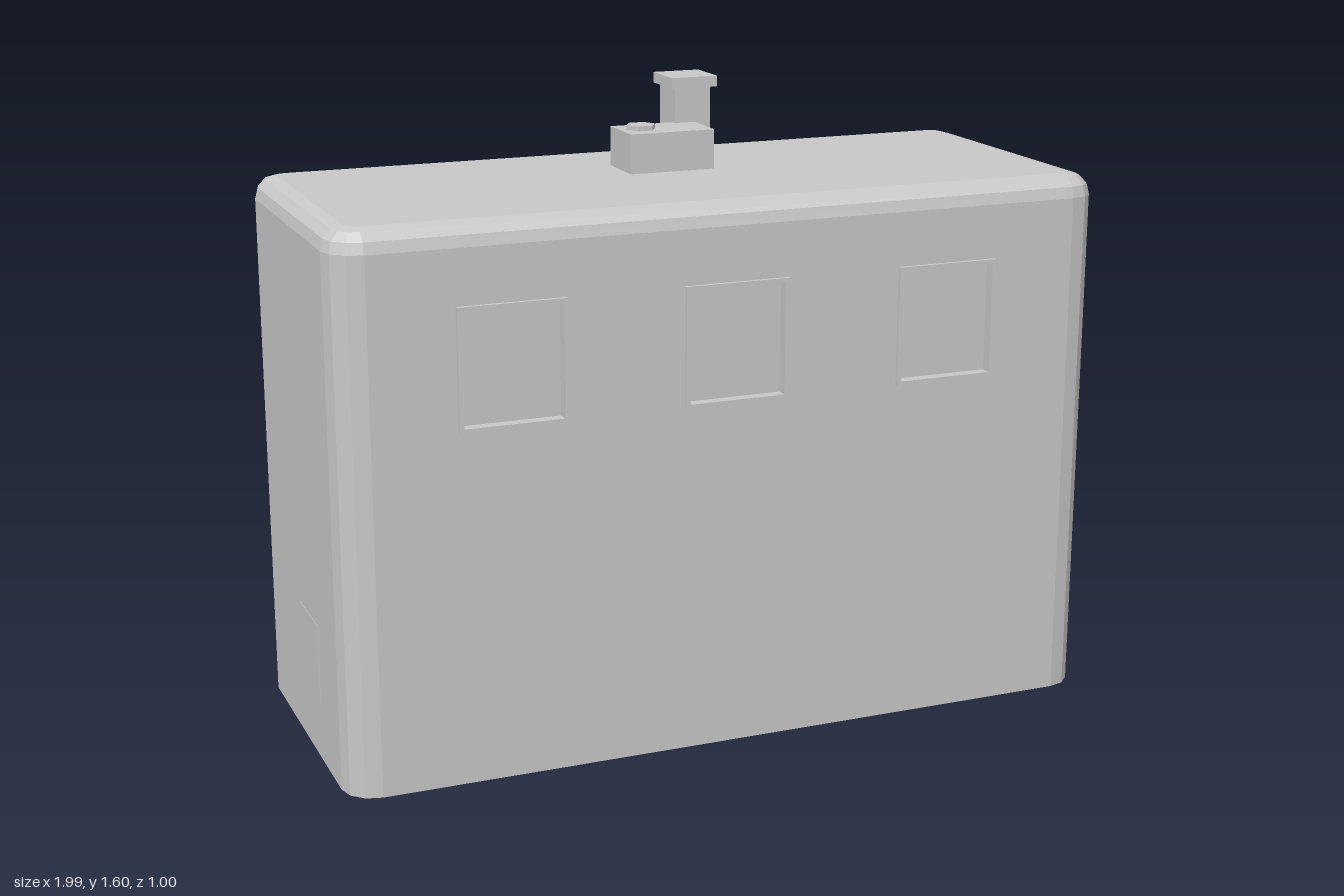
import * as THREE from 'three';

const grey = new THREE.MeshStandardMaterial({ color: 0xc8c8c8, flatShading: true, side: THREE.DoubleSide });
grey.name = 'plain grey';

// Body limits
const X0 = -0.99, X1 = 0.98, Z0 = -0.34, Z1 = 0.49, Y0 = 0.02, Y1 = 1.38;
const R = 0.08, BEVEL = 0.055, SEG = 3;

// Rounded rectangle outline; radii for the high-v and low-v corners
function outline(u0, u1, v0, v1, rHigh, rLow = rHigh, seg = 4) {
  const pts = [];
  const corners = [[u1, v1, -1, -1, rHigh], [u0, v1, 1, -1, rHigh], [u0, v0, 1, 1, rLow], [u1, v0, -1, 1, rLow]];
  corners.forEach(([u, v, su, sv, r], k) => {
    if (r === 0) { pts.push(new THREE.Vector2(u, v)); return; }
    for (let i = 0; i <= seg; i++) {
      const a = (k + i / seg) * Math.PI / 2;
      pts.push(new THREE.Vector2(u + su * r + r * Math.cos(a), v + sv * r + r * Math.sin(a)));
    }
  });
  return pts;
}

function add(parent, name, geometry, x = 0, y = 0, z = 0) {
  const mesh = new THREE.Mesh(geometry, grey);
  mesh.name = name;
  mesh.position.set(x, y, z);
  parent.add(mesh);
  return mesh;
}

function box(parent, name, x0, x1, y0, y1, z0, z1) {
  return add(parent, name, new THREE.BoxGeometry(x1 - x0, y1 - y0, z1 - z0),
    (x0 + x1) / 2, (y0 + y1) / 2, (z0 + z1) / 2);
}

// Rounded corners, rounded roof edge, roof and floor; flat walls are left open
function shellGeometry() {
  const rings = [[Y0, 0]];
  for (let i = 0; i <= SEG; i++) {
    const a = i / SEG * Math.PI / 2;
    rings.push([Y1 - BEVEL + BEVEL * Math.sin(a), BEVEL * (1 - Math.cos(a))]);
  }
  const loops = rings.map(([y, d]) => outline(X0 + d, X1 - d, Z0 + d, Z1 - d, R - d, R - d, SEG)
    .map(p => [p.x, y, p.y]));
  const pos = [], n = loops[0].length;
  const tri = (...corners) => corners.forEach(c => pos.push(...c));
  for (let k = 0; k < loops.length - 1; k++) {
    for (let i = 0; i < n; i++) {
      if (k === 0 && i % (SEG + 1) === SEG) continue;
      const j = (i + 1) % n, lo = loops[k], hi = loops[k + 1];
      tri(lo[i], hi[i], hi[j]);
      tri(lo[i], hi[j], lo[j]);
    }
  }
  const cx = (X0 + X1) / 2, cz = (Z0 + Z1) / 2, top = loops[loops.length - 1], base = loops[0];
  for (let i = 0; i < n; i++) {
    const j = (i + 1) % n;
    tri([cx, Y1, cz], top[j], top[i]);
    tri([cx, Y0, cz], base[i], base[j]);
  }
  const g = new THREE.BufferGeometry();
  g.setAttribute('position', new THREE.Float32BufferAttribute(pos, 3));
  g.computeVertexNormals();
  return g;
}

// Flat wall with framed, recessed openings, in local u (right), v (up)
function wall(parent, name, u0, u1, position, turn, openings) {
  const group = new THREE.Group();
  group.name = name;
  group.position.set(...position);
  group.rotation.y = turn;
  parent.add(group);
  const panel = new THREE.Shape(outline(u0, u1, Y0, Y1 - BEVEL, 0));
  for (const o of openings) {
    const outer = outline(o.u0, o.u1, o.v0, o.v1, o.r, o.rLow);
    panel.holes.push(new THREE.Path(outer));
    const t = 0.011, inset = r => Math.max(r - t, 0);
    const frame = new THREE.Shape(outer);
    frame.holes.push(new THREE.Path(outline(o.u0 + t, o.u1 - t, o.v0 + (o.sill ?? t), o.v1 - t, inset(o.r), inset(o.rLow))));
    add(group, o.name + 'Frame',
      new THREE.ExtrudeGeometry(frame, { depth: o.out + o.recess, bevelEnabled: false }), 0, 0, -o.recess);
    add(group, o.name + 'Pane', new THREE.ShapeGeometry(new THREE.Shape(outer)), 0, 0, -o.recess + 0.002);
  }
  add(group, name + 'Panel', new THREE.ShapeGeometry(panel));
}

export function createModel() {
  const model = new THREE.Group();
  model.name = 'building';
  add(model, 'bodyShell', shellGeometry());

  // Three square windows on each long side
  const windows = side => [-0.57, -0.01, 0.55].map(x => ({
    name: 'window', u0: side * x - 0.133, u1: side * x + 0.133, v0: 0.892, v1: 1.19, r: 0, rLow: 0, out: 0.01, recess: 0.02,
  }));
  wall(model, 'frontWall', X0 + R, X1 - R, [0, 0, Z1], 0, windows(1));
  wall(model, 'backWall', -X1 + R, -X0 - R, [0, 0, Z0], Math.PI, windows(-1));

  // End wall with a rounded window and an arched doorway
  wall(model, 'endWall', -Z1 + R, -Z0 - R, [X1, 0, 0], Math.PI / 2, [
    { name: 'roundedWindow', u0: -0.185, u1: 0.035, v0: 0.895, v1: 1.19, r: 0.05, rLow: 0.05, out: 0.02, recess: 0.01 },
    { name: 'doorway', u0: -0.245, u1: 0.1, v0: Y0 + 0.001, v1: 0.53, r: 0.07, rLow: 0, out: 0.012, recess: 0.03, sill: 0.001 },
  ]);
  wall(model, 'plainWall', Z0 + R, Z1 - R, [X0, 0, 0], -Math.PI / 2, []);

  // Thin hatch on the plain end and door sheet at the back
  box(model, 'hatch', X0 - 0.001, X0 + 0.002, 0.165, 0.37, 0.05, 0.23);
  box(model, 'backDoor', -0.03, 0.17, 0, 0.3, Z0 - 0.001, Z0 + 0.002);

  // Canopy on two posts
  box(model, 'canopyRoof', -0.07, 0.21, 0.368, 0.385, -0.5, Z0);
  for (const x of [-0.06, 0.2]) box(model, 'canopyPost', x - 0.006, x + 0.006, Y0, 0.37, -0.498, -0.486);

  // Chimney and roof unit with a hexagonal lid
  box(model, 'chimneyStack', 0.058, 0.156, Y1 - 0.01, 1.57, -0.172, -0.072);
  box(model, 'chimneyCap', 0.045, 0.17, 1.57, 1.597, -0.187, -0.06);
  box(model, 'roofUnit', -0.112, 0.113, Y1 - 0.01, 1.48, -0.087, 0.056);
  add(model, 'roofUnitLid', new THREE.CylinderGeometry(0.038, 0.038, 0.012, 6), -0.057, 1.486, -0.016).rotation.y = Math.PI / 6;
  return model;
}
